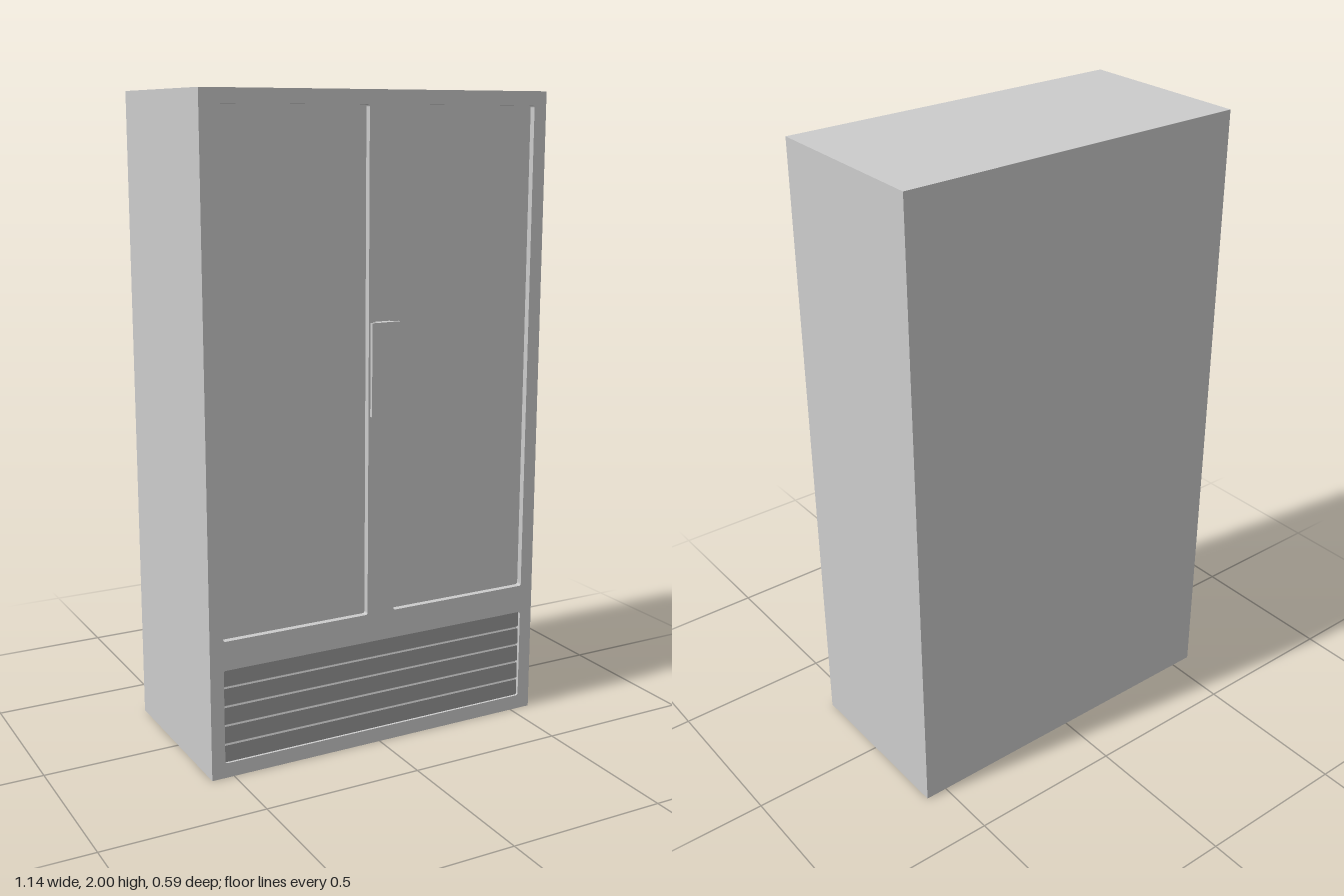
import * as THREE from 'three';

const W = 1.142, H = 2, BACK = -0.297, FRONT = 0.272, RECESS = 0.02;
const PANEL_Z = FRONT - RECESS;

// Traces a rectangle with slightly rounded corners
function roundedRect(path, x0, y0, x1, y1, r) {
  path.moveTo(x0 + r, y0);
  path.lineTo(x1 - r, y0);
  path.quadraticCurveTo(x1, y0, x1, y0 + r);
  path.lineTo(x1, y1 - r);
  path.quadraticCurveTo(x1, y1, x1 - r, y1);
  path.lineTo(x0 + r, y1);
  path.quadraticCurveTo(x0, y1, x0, y1 - r);
  path.lineTo(x0, y0 + r);
  path.quadraticCurveTo(x0, y0, x0 + r, y0);
  return path;
}

export function createModel() {
  const group = new THREE.Group();
  const casing = new THREE.MeshStandardMaterial({ color: 0xcccccc });
  casing.name = 'casing grey';
  const grille = new THREE.MeshStandardMaterial({ color: 0x999999 });
  grille.name = 'grille grey';

  const add = (name, geometry, material) => {
    const mesh = new THREE.Mesh(geometry, material);
    mesh.name = name;
    group.add(mesh);
    return mesh;
  };
  // Box given by its extents
  const box = (name, material, x0, x1, y0, y1, z0, z1) =>
    add(name, new THREE.BoxGeometry(x1 - x0, y1 - y0, z1 - z0), material)
      .position.set((x0 + x1) / 2, (y0 + y1) / 2, (z0 + z1) / 2);

  // Cabinet body; its front shows as the recessed door panels
  box('cabinet', casing, -W / 2, W / 2, 0, H, BACK, PANEL_Z);

  // Front frame with two door openings and a vent opening
  const frame = new THREE.Shape();
  frame.moveTo(-W / 2, 0);
  frame.lineTo(W / 2, 0);
  frame.lineTo(W / 2, H);
  frame.lineTo(-W / 2, H);
  frame.closePath();
  const openings = [
    [-0.528, 0.428, -0.046, 1.958],
    [0.046, 0.428, 0.528, 1.958],
    [-0.528, 0.046, 0.528, 0.338],
  ];
  for (const o of openings) frame.holes.push(roundedRect(new THREE.Path(), ...o, 0.008));
  add('frontFrame', new THREE.ExtrudeGeometry(frame, { depth: RECESS, bevelEnabled: false, curveSegments: 4 }), casing)
    .position.z = PANEL_Z;

  // Vent slats
  const slats = 5, gap = 0.007, pitch = (0.292 + gap) / slats;
  for (let i = 0; i < slats; i++) {
    const y = 0.046 + i * pitch;
    const shape = roundedRect(new THREE.Shape(), -0.527, y, 0.527, y + pitch - gap, 0.004);
    add('ventSlat', new THREE.ExtrudeGeometry(shape, { depth: 0.012, bevelEnabled: false, curveSegments: 3 }), grille)
      .position.z = PANEL_Z;
  }

  // Door handle: narrow stem and wide grip
  box('handleStem', casing, -0.024, 0.024, 1.053, 1.334, FRONT, 0.286);
  box('handleGrip', casing, -0.048, 0.048, 1.053, 1.334, 0.286, 0.297);

  return group;
}
